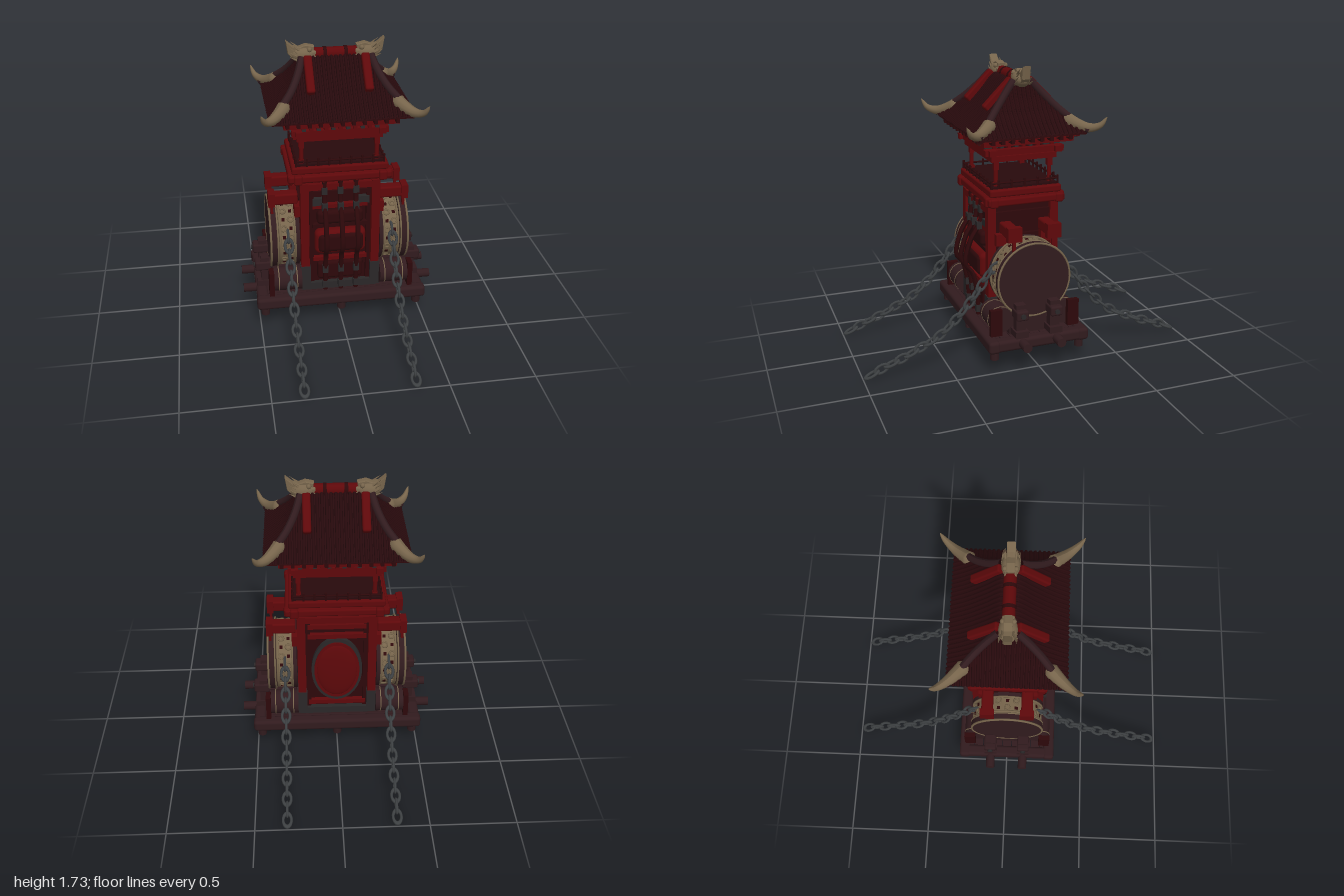
import * as THREE from 'three';
import { RoundedBoxGeometry } from 'three/addons/geometries/RoundedBoxGeometry.js';

const paint = (name, color, extra = {}) => new THREE.MeshStandardMaterial({ name, color, ...extra });
const V = (x, y, z) => new THREE.Vector3(x, y, z);

export function createModel() {
  const red = paint('lacquer red', 0x5e080a);
  const wine = paint('dark wine panel', 0x2d080a);
  const tile = paint('roof tile', 0x27090c, { side: THREE.DoubleSide });
  const wood = paint('brown wood', 0x311b1e);
  const bone = paint('old ivory', 0x76644b);
  const iron = paint('chain iron', 0x3d4042);
  const steel = paint('dark steel', 0x2a2728);
  const root = new THREE.Group();
  root.name = 'shrineTower';

  const add = (name, geo, mat, x = 0, y = 0, z = 0, parent = root) => {
    const m = new THREE.Mesh(geo, mat);
    m.name = name;
    m.position.set(x, y, z);
    parent.add(m);
    return m;
  };
  const box = (name, mat, w, h, d, x, y, z) => add(name, new THREE.BoxGeometry(w, h, d), mat, x, y, z);
  const soft = (name, mat, w, h, d, x, y, z, r = 0.012) =>
    add(name, new RoundedBoxGeometry(w, h, d, 2, r), mat, x, y, z);
  // Cylinder along a chosen axis
  const rod = (name, mat, r, len, axis, x, y, z, sides = 12) => {
    const m = add(name, new THREE.CylinderGeometry(r, r, len, sides), mat, x, y, z);
    if (axis === 'x') m.rotation.z = Math.PI / 2;
    if (axis === 'z') m.rotation.x = Math.PI / 2;
    return m;
  };
  // Tube whose rings are rescaled along its length
  const taper = (name, mat, pts, radius, seg = 12, sides = 8) => {
    const curve = new THREE.CatmullRomCurve3(pts);
    const geo = new THREE.TubeGeometry(curve, seg, 1, sides);
    const p = geo.attributes.position, v = V(0, 0, 0);
    for (let i = 0; i < p.count; i++) {
      const t = Math.floor(i / (sides + 1)) / seg, c = curve.getPointAt(t);
      v.fromBufferAttribute(p, i).sub(c).multiplyScalar(radius(t)).add(c);
      p.setXYZ(i, v.x, v.y, v.z);
    }
    geo.computeVertexNormals();
    return add(name, geo, mat);
  };
  const sides = [-1, 1];
  const corners = [[1, 1], [1, -1], [-1, -1], [-1, 1]];

  // Platform of planks, edge logs and feet
  for (let i = 0; i < 9; i++) box('plank', wood, 0.96, 0.04, 0.058, 0, 0.165, (i - 4) * 0.062);
  for (const s of sides) {
    soft('longEdgeBeam', wood, 1.04, 0.075, 0.07, 0, 0.163, s * 0.275, 0.02);
    soft('shortEdgeBeam', wood, 0.07, 0.07, 0.56, s * 0.48, 0.163, 0, 0.02);
    for (const x of [-0.47, 0, 0.47]) rod('foot', wood, 0.027, 0.06, 'y', x, 0.108, s * 0.265, 8);
    for (const z of [-0.105, 0.105]) {
      // Brackets that hold the drums
      rod('crossPoleEnd', wood, 0.028, 0.14, 'x', s * 0.52, 0.17, z, 10);
      box('bracketPost', wood, 0.05, 0.2, 0.06, s * 0.455, 0.29, z);
      soft('bracketBlock', wood, 0.1, 0.06, 0.075, s * 0.465, 0.335, z);
      box('bracketFoot', wood, 0.09, 0.04, 0.08, s * 0.46, 0.215, z);
      rod('bracketPin', steel, 0.015, 0.11, 'x', s * 0.47, 0.335, z, 8);
    }
  }

  // Tower body
  box('bodyCore', wine, 0.42, 0.74, 0.36, 0, 0.56, 0);
  for (const [sx, sz] of corners) {
    box('cornerPost', red, 0.05, 0.72, 0.05, sx * 0.213, 0.56, sz * 0.195);
    box('cornerPostFoot', steel, 0.06, 0.16, 0.06, sx * 0.213, 0.28, sz * 0.195);
    box('innerPost', wine, 0.025, 0.7, 0.03, sx * 0.172, 0.56, sz * 0.185);
    soft('sideArm', red, 0.17, 0.07, 0.07, sx * 0.33, 0.795, sz * 0.12);
    box('sideArmCap', red, 0.04, 0.085, 0.085, sx * 0.402, 0.795, sz * 0.12);
    box('sideArmBrace', red, 0.04, 0.07, 0.08, sx * 0.25, 0.72, sz * 0.14);
    box('armHanger', red, 0.015, 0.1, 0.02, sx * 0.4, 0.73, sz * 0.12);
  }
  for (const s of sides) {
    box('plinth', steel, 0.46, 0.045, 0.03, 0, 0.215, s * 0.205);
    box('headRail', red, 0.44, 0.04, 0.04, 0, 0.895, s * 0.2);
    for (const y of [0.5, 0.72, 0.86]) box('sideRail', wine, 0.03, 0.035, 0.36, s * 0.215, y, 0);
  }
  // Front: padded shells, rails and bowed straps
  soft('upperShell', wine, 0.28, 0.09, 0.06, 0, 0.69, 0.2, 0.025);
  soft('middleShell', red, 0.31, 0.16, 0.08, 0, 0.525, 0.2, 0.035);
  soft('middleShellPad', wine, 0.28, 0.13, 0.1, 0, 0.525, 0.2, 0.03);
  soft('lowerShell', wine, 0.28, 0.12, 0.05, 0, 0.32, 0.195, 0.02);
  for (const y of [0.4, 0.63, 0.76, 0.85])
    box('frontRail', y === 0.4 || y === 0.76 ? red : wine, 0.33, 0.024, 0.03, 0, y, 0.195);
  for (const x of [-0.13, 0.14]) box('frontFitting', steel, 0.07, 0.045, 0.03, x, 0.79, 0.195);
  for (const x of [-0.095, 0, 0.093]) {
    taper('bowedStrap', wine, [V(x, 0.93, 0.212), V(x, 0.8, 0.215), V(x, 0.74, 0.245), V(x, 0.68, 0.28),
      V(x, 0.53, 0.312), V(x, 0.47, 0.27), V(x, 0.32, 0.24), V(x, 0.2, 0.235)], () => 0.015, 30, 6);
    for (const [y, z] of [[0.87, 0.212], [0.77, 0.228], [0.35, 0.242], [0.24, 0.237]])
      box('strapBuckle', steel, 0.034, 0.045, 0.032, x, y, z);
  }
  // Back: oval shield in a steel frame
  for (const [name, mat, r, z] of [['shieldFrame', steel, 0.155, -0.19], ['shield', red, 0.138, -0.198]]) {
    const m = rod(name, mat, r, 0.03, 'z', 0, 0.52, z, 32);
    m.scale.z = 1.5;
  }
  const dome = add('shieldDome', new THREE.SphereGeometry(1, 24, 12), red, 0, 0.52, -0.21);
  dome.scale.set(0.125, 0.19, 0.02);
  for (const y of [0.27, 0.77, 0.84]) box('backRail', red, 0.35, 0.03, 0.035, 0, y, -0.19);

  // Balcony
  soft('balconyBeam', red, 0.61, 0.045, 0.47, 0, 0.957, 0);
  soft('balconySlab', red, 0.57, 0.045, 0.44, 0, 1.006, 0);
  box('balconyFloor', tile, 0.52, 0.012, 0.4, 0, 1.034, 0);
  for (const s of sides) {
    soft('beamEnds', red, 0.05, 0.06, 0.49, s * 0.25, 0.955, 0);
    soft('beamSides', red, 0.62, 0.055, 0.05, 0, 0.955, s * 0.2);
    rod('frontHandrail', wine, 0.006, 0.52, 'x', 0, 1.062, s * 0.205, 6);
    rod('sideHandrail', wine, 0.006, 0.41, 'z', s * 0.258, 1.062, 0, 6);
    for (let i = -4; i <= 4; i++) rod('railPost', wine, 0.007, 0.05, 'y', i * 0.0645, 1.055, s * 0.205, 6);
    for (let i = -2; i <= 2; i++) rod('railPost', wine, 0.007, 0.05, 'y', s * 0.258, 1.055, i * 0.08, 6);
  }
  for (const [sx, sz] of corners) {
    rod('column', red, 0.013, 0.16, 'y', sx * 0.222, 1.11, sz * 0.165, 8);
    box('columnFoot', red, 0.03, 0.025, 0.03, sx * 0.222, 1.045, sz * 0.165);
    box('columnHead', red, 0.03, 0.05, 0.03, sx * 0.222, 1.16, sz * 0.165);
  }

  // Stacked cornice below the roof
  box('lowerCornice', red, 0.5, 0.032, 0.4, 0, 1.2, 0);
  box('corniceCore', wine, 0.42, 0.13, 0.34, 0, 1.265, 0);
  for (const s of sides) {
    box('corniceLongBeam', red, 0.56, 0.034, 0.04, 0, 1.24, s * 0.2);
    box('corniceShortBeam', red, 0.04, 0.034, 0.48, s * 0.24, 1.24, 0);
    box('eaveLongBeam', red, 0.66, 0.03, 0.04, 0, 1.308, s * 0.25);
    box('eaveShortBeam', red, 0.04, 0.03, 0.54, s * 0.31, 1.308, 0);
    for (let i = -5; i <= 5; i++) {
      box('longDentil', i % 2 ? steel : red, 0.022, 0.03, 0.08, i * 0.042, 1.274, s * 0.19);
      box('longRafter', wine, 0.02, 0.022, 0.15, i * 0.062, 1.325, s * 0.235);
    }
    for (let i = -4; i <= 4; i++) {
      box('shortDentil', i % 2 ? steel : red, 0.08, 0.026, 0.02, s * 0.2, 1.274, i * 0.044);
      box('shortRafter', wine, 0.16, 0.022, 0.02, s * 0.3, 1.325, i * 0.058);
    }
  }
  box('soffit', red, 0.74, 0.012, 0.58, 0, 1.336, 0);
  box('eaveBoard', wine, 0.8, 0.014, 0.64, 0, 1.348, 0);

  // Curved hip roof: half width, half depth and height of each level
  const levels = [[0.41, 0.33, 1.355], [0.34, 0.255, 1.41], [0.275, 0.185, 1.475],
    [0.228, 0.115, 1.55], [0.198, 0.05, 1.625], [0.19, 0.001, 1.64]];
  const verts = [];
  for (let i = 0; i < levels.length - 1; i++) for (let k = 0; k < 4; k++) {
    const at = (lv, c) => [corners[c % 4][0] * lv[0], lv[2], corners[c % 4][1] * lv[1]];
    const a = at(levels[i], k), b = at(levels[i], k + 1), c = at(levels[i + 1], k + 1), d = at(levels[i + 1], k);
    verts.push(...a, ...b, ...c, ...a, ...c, ...d);
  }
  const roof = new THREE.BufferGeometry();
  roof.setAttribute('position', new THREE.Float32BufferAttribute(verts, 3));
  roof.computeVertexNormals();
  add('roofSurface', roof, tile);
  // Rows of round tiles, each stopped where it meets the hip
  const tileRow = (offset, along, sign) => {
    const pts = [], put = (reach, y) => pts.push(along === 0 ? V(offset, y, sign * reach) : V(sign * reach, y, offset));
    for (let i = 0; i < levels.length; i++) {
      const l = levels[i], o = levels[i - 1];
      if (l[along] >= Math.abs(offset)) { put(l[1 - along], l[2]); continue; }
      const f = (o[along] - Math.abs(offset)) / (o[along] - l[along]);
      put(o[1 - along] + f * (l[1 - along] - o[1 - along]), o[2] + f * (l[2] - o[2]));
      break;
    }
    add('tileRow', new THREE.TubeGeometry(new THREE.CatmullRomCurve3(pts), 10, 0.0095, 6), tile);
  };
  for (const s of sides) {
    for (let i = -15; i <= 15; i++) tileRow(i * 0.0262, 0, s);
    for (let i = -12; i <= 12; i++) tileRow(i * 0.0262, 1, s);
  }
  // Hip ridges and the upturned ivory horns at the corners
  for (const [sx, sz] of corners) {
    taper('hipRidge', wood, levels.slice(0, 5).map(l => V(sx * l[0], l[2] + 0.01, sz * l[1])), () => 0.022);
    taper('cornerHorn', bone, [V(sx * 0.3, 1.43, sz * 0.21), V(sx * 0.35, 1.395, sz * 0.27),
      V(sx * 0.4, 1.378, sz * 0.33), V(sx * 0.44, 1.395, sz * 0.38), V(sx * 0.462, 1.445, sz * 0.412)],
    t => 0.045 * Math.min(1, t * 6 + 0.3) * Math.pow(1 - t, 0.65) + 0.001, 16, 10);
    // Red ridges running down the slope
    const bar = soft('slopeRidge', red, 0.048, 0.05, 0.23, sx * 0.165, 1.557, sz * 0.128);
    bar.rotation.x = sz * 0.79;
  }
  // Top ridge with two carved beast heads
  rod('topRidge', red, 0.035, 0.3, 'x', 0, 1.64, 0);
  for (const x of [-0.06, 0.06]) rod('ridgeBand', wine, 0.038, 0.02, 'x', x, 1.64, 0);
  const crestShape = new THREE.Shape([[0.13, 1.62], [0.125, 1.685], [0.17, 1.695], [0.21, 1.68], [0.24, 1.685],
    [0.28, 1.72], [0.268, 1.65], [0.23, 1.61]].map(p => new THREE.Vector2(...p)));
  for (const s of sides) {
    const head = new THREE.Group();
    head.name = 'beastHead';
    head.rotation.y = s > 0 ? 0 : Math.PI;
    root.add(head);
    add('crest', new THREE.ExtrudeGeometry(crestShape, { depth: 0.024, bevelSize: 0.004, bevelThickness: 0.012,
      bevelSegments: 2 }), bone, 0, 0, -0.012, head);
    const skull = add('skull', new THREE.SphereGeometry(1, 16, 12), bone, 0.185, 1.64, 0, head);
    skull.scale.set(0.075, 0.047, 0.052);
    const snout = add('snout', new RoundedBoxGeometry(0.06, 0.06, 0.07, 2, 0.015), bone, 0.135, 1.635, 0, head);
    snout.rotation.z = -0.1;
    for (const z of sides) {
      for (let i = 0; i < 4; i++) {
        const lock = add('maneLock', new THREE.ConeGeometry(0.013, 0.11, 6), bone, 0.215, 1.617 + i * 0.02,
          z * (0.047 - i * 0.006), head);
        lock.rotation.z = -1.15 + i * 0.08;
      }
      add('brow', new THREE.SphereGeometry(0.015, 8, 6), bone, 0.15, 1.672, z * 0.03, head);
    }
  }

  // Big side drums with studded ivory bands, cradles and small rollers
  for (const s of sides) {
    rod('drumShell', bone, 0.208, 0.1, 'x', s * 0.315, 0.51, 0, 40);
    rod('drumOuterRim', wood, 0.224, 0.05, 'x', s * 0.395, 0.51, 0, 40);
    rod('drumInnerRim', wood, 0.222, 0.022, 'x', s * 0.254, 0.51, 0, 40);
    for (const [x, r, t] of [[0.417, 0.221, 0.007], [0.375, 0.222, 0.006], [0.27, 0.216, 0.007], [0.36, 0.21, 0.008]]) {
      const ring = add('drumRing', new THREE.TorusGeometry(r, t, 6, 40), bone, s * x, 0.51, 0);
      ring.rotation.y = Math.PI / 2;
    }
    for (let i = 0; i < 24; i++) {
      const a = i / 24 * Math.PI * 2, x = 0.315 + (i % 2 ? 0.022 : -0.022);
      const stud = box('drumInlay', wine, 0.018, 0.008, 0.02, s * x, 0.51 + Math.cos(a) * 0.207, Math.sin(a) * 0.207);
      stud.rotation.x = a;
      const scroll = add('drumScroll', new THREE.TorusGeometry(0.016, 0.006, 5, 10), bone, s * (0.63 - x),
        0.51 + Math.cos(a) * 0.21, Math.sin(a) * 0.21);
      scroll.rotation.x = a + Math.PI / 2;
    }
    box('drumCradle', wood, 0.16, 0.12, 0.3, s * 0.33, 0.24, 0);
    for (const z of sides) {
      rod('roller', wood, 0.075, 0.17, 'x', s * 0.325, 0.28, z * 0.2, 16);
      for (const x of [0.27, 0.38]) rod('rollerRing', bone, 0.077, 0.006, 'x', s * x, 0.28, z * 0.2, 16);
      box('rollerBlock', wine, 0.03, 0.16, 0.07, s * 0.425, 0.28, z * 0.24);
    }
  }

  // Four chains falling from the drums to the ground
  const link = new THREE.TorusGeometry(0.024, 0.0085, 6, 14).scale(1.62, 1, 1);
  const fall = new THREE.CatmullRomCurve3([V(0, 0.575, 0.205), V(0, 0.54, 0.25), V(0, 0.475, 0.29), V(0, 0.37, 0.37),
    V(0, 0.285, 0.45), V(0, 0.2, 0.55), V(0, 0.15, 0.65), V(0, 0.1, 0.76), V(0, 0.06, 0.87), V(0, 0.025, 0.95)]);
  for (const [sx, sz] of corners) for (let i = 0; i <= 15; i++) {
    const p = fall.getPointAt(i / 15), d = fall.getTangentAt(i / 15);
    const m = add('chainLink', link, iron, sx * 0.315, p.y, sz * p.z);
    const along = V(0, d.y, sz * d.z), wide = V(1, 0, 0), normal = V(0, 0, 0).crossVectors(along, wide);
    const basis = new THREE.Matrix4();
    if (i % 2) basis.makeBasis(along, wide, normal);
    else basis.makeBasis(along, normal, wide.negate());
    m.quaternion.setFromRotationMatrix(basis);
  }
  return root;
}
